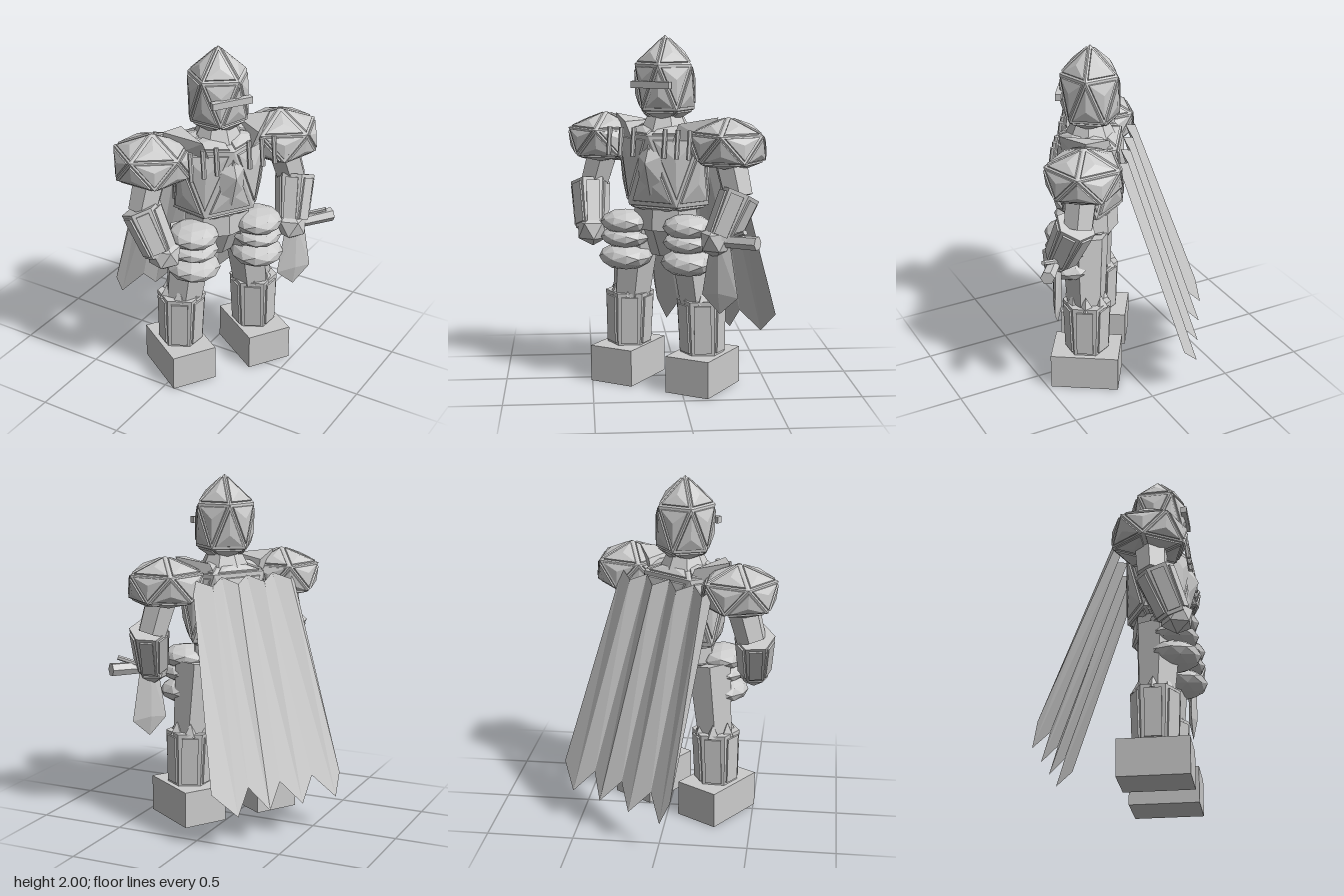
import * as THREE from 'three';
import { ConvexGeometry } from 'three/addons/geometries/ConvexGeometry.js';

const mat = new THREE.MeshStandardMaterial({ color: 0xcccccc, flatShading: true });
const thinMat = new THREE.MeshStandardMaterial({ color: 0xcccccc, flatShading: true, side: THREE.DoubleSide });
const V = (x, y, z) => new THREE.Vector3(x, y, z);
const TURN = THREE.MathUtils.degToRad(57);

function add(parent, name, geo, x = 0, y = 0, z = 0, material = mat) {
  const mesh = new THREE.Mesh(geo, material);
  mesh.name = name;
  mesh.position.set(x, y, z);
  parent.add(mesh);
  return mesh;
}

function fromTriangles(points) {
  const geo = new THREE.BufferGeometry().setFromPoints(points);
  geo.computeVertexNormals();
  return geo;
}

// Pole-up icosahedral shell with its two rings at heights up and down;
// every face carries an inset, pyramid-shaped armour plate
function plated(rx, ry, rz, up, down, bump, rBottom = 1) {
  const at = (deg, y, k) => {
    const a = THREE.MathUtils.degToRad(deg);
    return V(Math.sin(a) * rx * k, y, Math.cos(a) * rz * k);
  };
  const top = V(0, ry, 0), bottom = V(0, -ry, 0), tris = [];
  for (let i = 0; i < 5; i++) {
    const u0 = at(i * 72, up, 1), u1 = at(i * 72 + 72, up, 1);
    const l0 = at(i * 72 + 36, down, rBottom), l1 = at(i * 72 + 108, down, rBottom);
    for (const face of [[top, u0, u1], [u0, l0, u1], [u1, l0, l1], [bottom, l1, l0]]) {
      tris.push(...face);
      if (!bump) continue;
      const [a, b, c] = face;
      const mid = a.clone().add(b).add(c).divideScalar(3);
      const n = b.clone().sub(a).cross(c.clone().sub(a)).normalize();
      const outer = face.map(p => p.clone().lerp(mid, 0.17));
      const rim = face.map(p => p.clone().lerp(mid, 0.2).addScaledVector(n, bump * 0.35));
      const peak = mid.clone().addScaledVector(n, bump);
      for (let k = 0; k < 3; k++) {
        const m = (k + 1) % 3;
        tris.push(outer[k], outer[m], rim[m], outer[k], rim[m], rim[k], rim[k], rim[m], peak);
      }
    }
  }
  return fromTriangles(tris);
}

// Faceted limb from a to b, optionally with raised plates on its sides
function limb(parent, name, a, b, ra, rb, sides, plates = false) {
  const g = new THREE.Group(), dir = b.clone().sub(a), len = dir.length();
  g.name = name;
  g.position.copy(a).lerp(b, 0.5);
  g.quaternion.setFromUnitVectors(V(0, 1, 0), dir.normalize());
  add(g, name + 'Core', new THREE.CylinderGeometry(rb, ra, len, sides));
  if (plates) {
    const half = Math.PI / sides, r = (ra + rb) / 2;
    const plate = new THREE.BoxGeometry(2 * r * Math.sin(half) * 0.72, len * 0.86, 0.02);
    for (let i = 0; i < sides; i++) {
      const holder = new THREE.Group();
      holder.rotation.y = (2 * i + 1) * half;
      const p = add(holder, name + 'Plate', plate, 0, 0, r * Math.cos(half));
      p.rotation.x = Math.atan((rb - ra) * Math.cos(half) / len);
      g.add(holder);
    }
  }
  parent.add(g);
}

// Pleated cape: top and bottom edges share alternating folds
function capeGeometry() {
  const xs = [-0.4, -0.35, -0.23, -0.12, -0.01, 0.1, 0.2, 0.31, 0.44], tris = [];
  const edge = i => {
    const out = i % 2 === 1;
    return [V(xs[i] * 0.8 - 0.03, out ? 1.4 : 1.44, out ? -0.23 : -0.18),
      V(xs[i], out ? 0.19 : 0.32, out ? -0.645 : i === 0 ? -0.61 : -0.575)];
  };
  for (let i = 0; i < xs.length - 1; i++) {
    const [t0, b0] = edge(i), [t1, b1] = edge(i + 1);
    tris.push(t0, t1, b0, t1, b1, b0);
  }
  return fromTriangles(tris);
}

export function createModel() {
  const model = new THREE.Group(), body = new THREE.Group();
  model.name = 'armouredKnight';
  body.name = 'body';
  body.rotation.y = TURN;
  body.position.set(0.1, 0, 0.075);
  model.add(body);

  // Helmet, visor and neck
  add(body, 'helmet', plated(0.172, 0.25, 0.172, 0.09, -0.165, 0.022, 0.97), 0, 1.75, 0).rotation.y = -TURN;
  add(body, 'visorBar', new THREE.BoxGeometry(0.24, 0.038, 0.035), 0, 1.73, 0.165);
  add(body, 'neck', new THREE.CylinderGeometry(0.1, 0.15, 0.1, 8), 0, 1.51, 0);

  // Breastplate, chest ridge and pelvis
  add(body, 'breastplate', plated(0.285, 0.275, 0.2, 0.2, -0.2, 0.025, 0.92), 0, 1.25, 0);
  add(body, 'chestRidge', new ConvexGeometry([
    V(0, 0.15, 0), V(-0.08, 0.06, 0), V(0.08, 0.06, 0), V(-0.07, -0.09, 0), V(0.07, -0.09, 0),
    V(0, -0.17, 0), V(0, 0.02, 0.06)]), 0, 1.28, 0.175);
  add(body, 'waist', new THREE.CylinderGeometry(0.2, 0.21, 0.12, 8), 0, 0.97, 0).scale.z = 0.75;
  add(body, 'pelvis', new THREE.CylinderGeometry(0.22, 0.09, 0.18, 6), 0, 0.84, 0).scale.z = 0.7;

  add(body, 'cape', capeGeometry(), 0, 0, 0, thinMat);

  for (const s of [-1, 1]) {
    const side = s < 0 ? 'right' : 'left';
    const P = (x, y, z) => V(s * x, y, z);

    // Shoulder armour and collar wedge
    add(body, side + 'Pauldron', plated(0.22, 0.142, 0.218, 0.05, -0.1, 0.022, 0.97), s * 0.395, 1.415, -0.005).rotation.y = -TURN;
    add(body, side + 'CollarPlate', new ConvexGeometry([
      P(0.17, 1.51, -0.12), P(0.17, 1.52, 0.16), P(0.33, 1.55, -0.01),
      P(0.12, 1.38, -0.14), P(0.12, 1.4, 0.15), P(0.3, 1.4, 0)]));

    // Chest rods
    for (const x of [0.1, 0.18, 0.255]) {
      limb(body, side + 'ChestRod', P(x, 1.33, 0.2), P(x, 1.49, 0.18), 0.014, 0.014, 6);
    }

    // Arm, gauntlet and hand
    limb(body, side + 'UpperArm', P(0.39, 1.4, 0), P(0.47, 1.12, 0.02), 0.1, 0.088, 6);
    limb(body, side + 'Gauntlet', P(0.485, 1.14, 0.03), P(0.415, 0.89, 0.13), 0.115, 0.092, 6, true);
    add(body, side + 'Hand', plated(0.088, 0.095, 0.088, 0.045, -0.045, 0), s * 0.4, 0.885, 0.145);

    // Layered thigh guards
    [[0.942, 0.144, 0.072], [0.855, 0.142, 0.064], [0.742, 0.154, 0.078]].forEach(([y, r, h], i) => {
      add(body, side + 'ThighGuard' + (i + 1), new THREE.IcosahedronGeometry(1, 1), s * 0.202, y, 0.105).scale.set(r, h, r);
    });

    // Leg, greave, knee points and block foot
    limb(body, side + 'Thigh', P(0.17, 0.92, 0.02), P(0.225, 0.48, 0.01), 0.14, 0.112, 6);
    limb(body, side + 'Greave', P(0.242, 0.2, 0.005), P(0.235, 0.52, 0.005), 0.126, 0.14, 6, true);
    for (let i = 0; i < 6; i++) {
      const t = (i + 0.5) * Math.PI / 3;
      add(body, side + 'KneePoint', new THREE.ConeGeometry(0.045, 0.08, 4), s * 0.235 + Math.sin(t) * 0.09, 0.545, Math.cos(t) * 0.09);
    }
    add(body, side + 'Foot', new THREE.BoxGeometry(0.27, 0.21, 0.395), s * 0.247, 0.105, 0.007);
  }

  // Broad short blade with a sideways grip in the left hand
  limb(body, 'swordGrip', V(0.38, 0.89, 0.15), V(0.66, 0.9, 0.17), 0.034, 0.04, 6);
  limb(body, 'swordGuard', V(0.45, 0.9, 0.1), V(0.6, 0.96, 0.2), 0.014, 0.014, 6);
  add(body, 'swordBlade', new ConvexGeometry([
    V(-0.06, 0.88, 0), V(0.06, 0.88, 0), V(-0.11, 0.58, 0), V(0.11, 0.58, 0), V(0, 0.48, 0),
    V(0, 0.88, 0.025), V(0, 0.88, -0.025), V(0, 0.6, 0.025), V(0, 0.6, -0.025)]), 0.425, 0, 0.15);

  return model;
}
